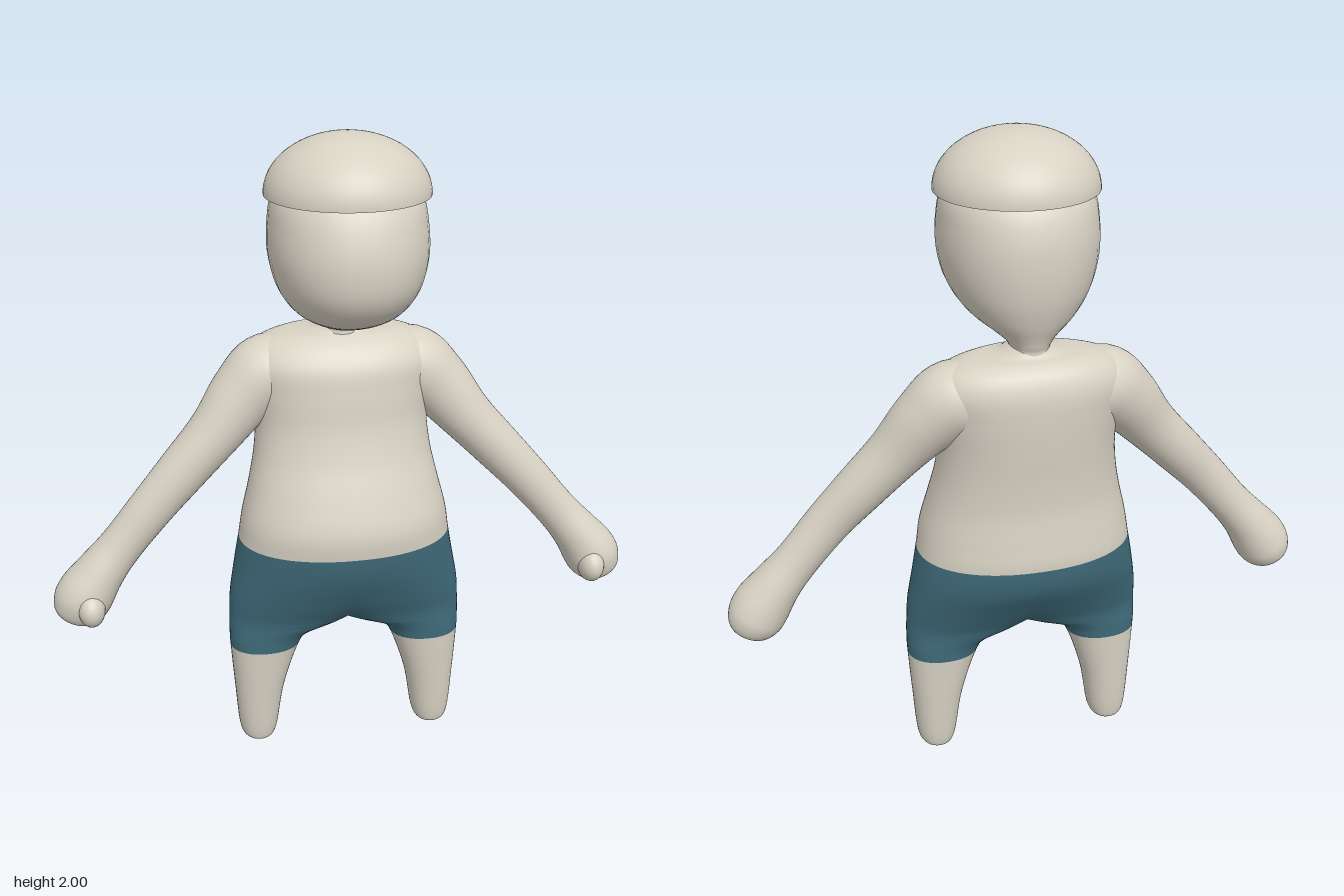
import * as THREE from 'three';

const skin = new THREE.MeshStandardMaterial({ color: 0xd8d2c4 });
skin.name = 'skin';
const shorts = new THREE.MeshStandardMaterial({ color: 0x3f6b7a });
shorts.name = 'shortsBlue';

const COLS = 40, STEPS = 6, ROUND = 0.92;

// Catmull-Rom resampling of section rows (passes exactly through each row)
function resample(rows) {
  const out = [], n = rows.length;
  const at = i => rows[Math.min(n - 1, Math.max(0, i))];
  for (let i = 0; i < n - 1; i++) {
    for (let k = 0; k < STEPS; k++) {
      const t = k / STEPS;
      out.push(rows[i].map((p1, c) => {
        const p0 = at(i - 1)[c], p2 = at(i + 1)[c], p3 = at(i + 2)[c];
        return p1 + 0.5 * t * (p2 - p0 + t * (2 * p0 - 5 * p1 + 4 * p2 - p3 + t * (3 * (p1 - p2) + p3 - p0)));
      }));
    }
  }
  out.push(rows[n - 1]);
  return out;
}

const power = v => Math.sign(v) * Math.abs(v) ** ROUND;

// Horizontal section [y, inner, outer, front, back]; a half section stops at x = 0
function levelRing([y, inner, outer, front, back], half) {
  const cx = (inner + outer) / 2, rx = (outer - inner) / 2;
  const cz = (front + back) / 2, rz = (front - back) / 2;
  let A = Math.PI;
  if (half && inner < 1e-9 && rx > 0) A = Math.acos(-(Math.min(1, Math.max(0, cx / rx)) ** (1 / ROUND)));
  return Array.from({ length: COLS + 1 }, (_, j) => {
    const a = A * (2 * j / COLS - 1);
    const x = cx + rx * power(Math.cos(a));
    return [half ? Math.max(0, x) : x, y, cz + rz * power(Math.sin(a))];
  });
}

// Section [x, y, z, r, rz] set square to a path in the xy plane
function pathRing(row, i, rows) {
  const p = rows[Math.max(0, i - 1)], q = rows[Math.min(rows.length - 1, i + 1)];
  const len = Math.hypot(q[0] - p[0], q[1] - p[1]) || 1;
  const ux = (q[1] - p[1]) / len, uy = (p[0] - q[0]) / len;
  const [x, y, z, r, rz] = row;
  return Array.from({ length: COLS + 1 }, (_, j) => {
    const a = Math.PI * (2 * j / COLS - 1), c = r * Math.cos(a);
    return [x + ux * c, y + uy * c, z + rz * Math.sin(a)];
  });
}

// Smooth surface over rings; side = -1 mirrors it across x = 0
function surface(rings, side = 1) {
  const w = COLS + 1, index = [];
  for (let i = 0; i < rings.length - 1; i++) {
    for (let j = 0; j < COLS; j++) {
      const a = i * w + j, b = a + w;
      if (side > 0) index.push(a, b, a + 1, b, b + 1, a + 1);
      else index.push(a, a + 1, b, b, a + 1, b + 1);
    }
  }
  const g = new THREE.BufferGeometry();
  const pts = rings.flat().map(([x, y, z]) => [x * side, y, z]);
  g.setAttribute('position', new THREE.Float32BufferAttribute(pts.flat(), 3));
  g.setIndex(index);
  g.computeVertexNormals();
  // Blend normals over the seam
  const N = g.attributes.normal, P = g.attributes.position;
  const u = new THREE.Vector3(), v = new THREE.Vector3(), p = new THREE.Vector3(), q = new THREE.Vector3();
  for (let i = 0; i < rings.length; i++) {
    const a = i * w, b = a + COLS;
    u.fromBufferAttribute(N, a);
    v.fromBufferAttribute(N, b);
    p.fromBufferAttribute(P, a);
    q.fromBufferAttribute(P, b);
    if (p.distanceTo(q) < 1e-5) { u.add(v); v.copy(u); }
    if (Math.abs(p.x) < 1e-6) u.x = v.x = 0;
    u.normalize();
    v.normalize();
    N.setXYZ(a, u.x, u.y, u.z);
    N.setXYZ(b, v.x, v.y, v.z);
  }
  return g;
}

function add(parent, name, geometry, material) {
  const m = new THREE.Mesh(geometry, material);
  m.name = name;
  parent.add(m);
  return m;
}

export function createModel() {
  const model = new THREE.Group();
  model.name = 'figure';

  // Leg and half torso in one skin: y, inner x, outer x, front z, back z
  const body = [
    [0, 0.292, 0.292, -0.045, -0.045],
    [0.006, 0.255, 0.327, 0.008, -0.092],
    [0.04, 0.232, 0.353, 0.026, -0.11],
    [0.2, 0.204, 0.366, 0.04, -0.122],
    [0.36, 0.15, 0.376, 0.053, -0.132],
    [0.41, 0.103, 0.377, 0.058, -0.137],
    [0.445, 0, 0.377, 0.066, -0.145],
    [0.48, -0.08, 0.375, 0.077, -0.158],
    [0.55, -0.22, 0.37, 0.112, -0.2],
    [0.65, -0.352, 0.352, 0.158, -0.262],
    [0.74, -0.335, 0.335, 0.177, -0.28],
    [0.82, -0.322, 0.322, 0.178, -0.275],
    [0.92, -0.297, 0.297, 0.145, -0.265],
    [1.02, -0.276, 0.276, 0.105, -0.267],
    [1.12, -0.268, 0.268, 0.077, -0.275],
    [1.22, -0.28, 0.28, 0.063, -0.281],
    [1.3, -0.295, 0.295, 0.047, -0.279],
    [1.355, -0.262, 0.262, 0.012, -0.26],
    [1.385, -0.19, 0.19, -0.025, -0.228],
    [1.395, -0.1, 0.1, -0.045, -0.198],
    [1.415, -0.058, 0.058, -0.05, -0.185],
  ];
  const hem = body.findIndex(r => r[0] === 0.36), waist = body.findIndex(r => r[0] === 0.74);
  const bodyRings = resample(body).map(r => levelRing(r, true));
  const perRow = STEPS * COLS * 6;

  // Arm from inside the shoulder to the fist: x, y, z, radius, z radius
  const arm = [
    [0.1, 1.27, -0.125, 0.08, 0.11],
    [0.215, 1.262, -0.118, 0.118, 0.118],
    [0.3, 1.2, -0.103, 0.104, 0.103],
    [0.395, 1.09, -0.075, 0.084, 0.084],
    [0.505, 0.973, -0.056, 0.076, 0.073],
    [0.6, 0.87, -0.042, 0.07, 0.063],
    [0.7, 0.752, -0.036, 0.067, 0.064],
    [0.765, 0.675, -0.03, 0.075, 0.078],
    [0.815, 0.607, -0.026, 0.088, 0.09],
    [0.843, 0.56, -0.028, 0.084, 0.086],
    [0.862, 0.522, -0.028, 0.058, 0.06],
    [0.867, 0.508, -0.028, 0, 0],
  ];
  const armRings = resample(arm).map(pathRing);

  for (const [side, label] of [[1, 'left'], [-1, 'right']]) {
    const g = surface(bodyRings, side);
    g.addGroup(0, hem * perRow, 0);
    g.addGroup(hem * perRow, (waist - hem) * perRow, 1);
    g.addGroup(waist * perRow, (body.length - 1 - waist) * perRow, 0);
    add(model, label + 'BodyAndLeg', g, [skin, shorts]);
    add(model, label + 'Arm', surface(armRings, side), skin);

    // Thumb lump on the front of the fist
    const thumb = add(model, label + 'Thumb', new THREE.SphereGeometry(1, 24, 16), skin);
    thumb.scale.set(0.042, 0.055, 0.055);
    thumb.position.set(side * 0.805, 0.575, 0.04);
  }

  // Head and neck: y, half width, front z, back z
  const head = [
    [1.37, 0.085, -0.03, -0.2],
    [1.405, 0.06, -0.04, -0.192],
    [1.425, 0.066, -0.005, -0.197],
    [1.45, 0.098, 0.1, -0.205],
    [1.5, 0.162, 0.212, -0.224],
    [1.57, 0.207, 0.27, -0.242],
    [1.66, 0.229, 0.285, -0.25],
    [1.75, 0.228, 0.27, -0.243],
    [1.83, 0.211, 0.232, -0.212],
    [1.9, 0.15, 0.16, -0.14],
    [1.92, 0, 0.01, 0.01],
  ].map(([y, hw, f, b]) => [y, -hw, hw, f, b]);
  add(model, 'head', surface(resample(head).map(r => levelRing(r, false))), skin);

  // Domed cap with a flat underside
  const cap = new THREE.Group();
  cap.name = 'cap';
  cap.position.set(0, 1.83, 0.018);
  add(cap, 'capDome', new THREE.SphereGeometry(1, 48, 20, 0, Math.PI * 2, 0, Math.PI / 2), skin).scale.set(0.239, 0.17, 0.239);
  add(cap, 'capUnderside', new THREE.CircleGeometry(0.239, 48), skin).rotation.x = Math.PI / 2;
  model.add(cap);

  return model;
}
